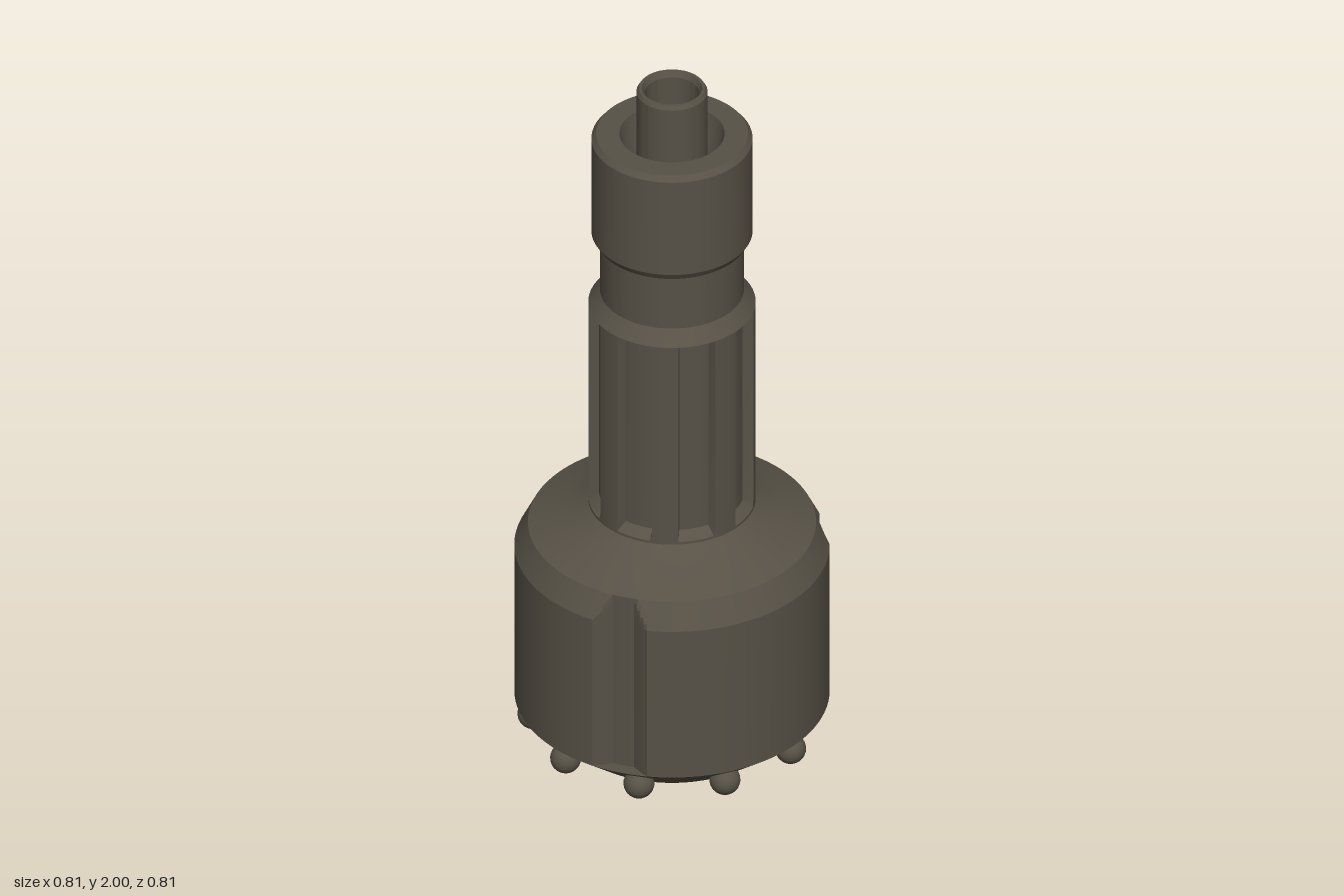
import * as THREE from 'three';
import { toCreasedNormals } from 'three/addons/utils/BufferGeometryUtils.js';

const STEPS = 240; // 1.5 degrees per step
const DEG = 180 / Math.PI;

// Turned surface from [radius, y] rings; cut(angle, r, y) may lower the radius at an angle.
function turned(rings, cut = (a, r) => r) {
  const pos = [], index = [];
  rings.forEach(([r, y]) => {
    for (let j = 0; j < STEPS; j++) {
      const a = (j / STEPS) * Math.PI * 2;
      const q = cut(a * DEG, r, y);
      pos.push(q * Math.cos(a), y, q * Math.sin(a));
    }
  });
  for (let i = 0; i < rings.length - 1; i++) {
    for (let j = 0; j < STEPS; j++) {
      const k = (j + 1) % STEPS;
      const a = i * STEPS + j, b = i * STEPS + k;
      const c = a + STEPS, d = b + STEPS;
      index.push(a, c, b, b, c, d);
    }
  }
  const g = new THREE.BufferGeometry();
  g.setAttribute('position', new THREE.Float32BufferAttribute(pos, 3));
  g.setIndex(index);
  return toCreasedNormals(g, 0.35);
}

// Angular distance to the nearest of evenly spaced centres
function offCentre(angle, centre, period) {
  const t = (((angle - centre) % period) + period) % period;
  return Math.min(t, period - t);
}

// Three shallow flushing channels down the side of the head
function channelCut(angle, r, y) {
  if (y < 0.1401 || y > 0.661) return r;
  const d = offCentre(angle, 30, 120);
  const t = THREE.MathUtils.clamp((d - 4.5) / 6, 0, 1);
  return Math.min(r, 0.37 + 0.035 * t);
}

// Eight drive splines
function splineCut(angle, r, y) {
  if (y < 0.75 || y > 1.3399) return r;
  return offCentre(angle, 0, 45) < 9.1 ? r : 0.188;
}

export function createModel() {
  const model = new THREE.Group();
  const steel = new THREE.MeshStandardMaterial({ color: 0x575146 });
  steel.name = 'dark steel';

  const add = (name, geometry, parent = model) => {
    const mesh = new THREE.Mesh(geometry, steel);
    mesh.name = name;
    parent.add(mesh);
    return mesh;
  };

  // Head: flat face, gauge bevel, channelled wall, chamfer and shoulder
  const chamfer = [];
  for (let i = 0; i <= 5; i++) chamfer.push([0.405 - 0.007 * i, 0.59 + 0.014 * i]);
  add('head', turned([
    [0.095, 0.04], [0.28, 0.04], [0.405, 0.14], [0.405, 0.1402],
    ...chamfer, [0.28, 0.695], [0.235, 0.718], [0.205, 0.74],
  ], channelCut));

  // Splined shaft with a full bevelled collar on top
  add('splinedShaft', turned([
    [0.215, 0.725], [0.215, 0.74], [0.215, 0.76],
    [0.215, 1.3398], [0.215, 1.34], [0.185, 1.38],
  ], splineCut));

  // Neck, retaining collar, countersink and through bore
  add('shankAndBore', turned([
    [0.185, 1.38], [0.185, 1.54], [0.195, 1.54], [0.207, 1.56], [0.207, 1.845],
    [0.195, 1.86], [0.135, 1.86], [0.12, 1.8], [0.095, 1.75], [0.095, 0.04],
  ]));

  // Hollow foot valve tube standing in the bore
  add('valveTube', turned([
    [0.07, 1.5], [0.091, 1.5], [0.091, 1.99], [0.085, 2], [0.077, 2], [0.07, 1.985], [0.07, 1.5],
  ]));

  // Rounded cutting buttons: gauge row and face row
  const ball = new THREE.SphereGeometry(0.04, 24, 16);
  const buttonRow = (name, count, radius, y, start) => {
    const row = new THREE.Group();
    row.name = name + 's';
    for (let i = 0; i < count; i++) {
      const a = start + (i / count) * Math.PI * 2;
      add(name, ball, row).position.set(radius * Math.cos(a), y, radius * Math.sin(a));
    }
    model.add(row);
  };
  buttonRow('gaugeButton', 10, 0.358, 0.085, 0);
  buttonRow('faceButton', 6, 0.2, 0.04, Math.PI / 2);

  return model;
}
